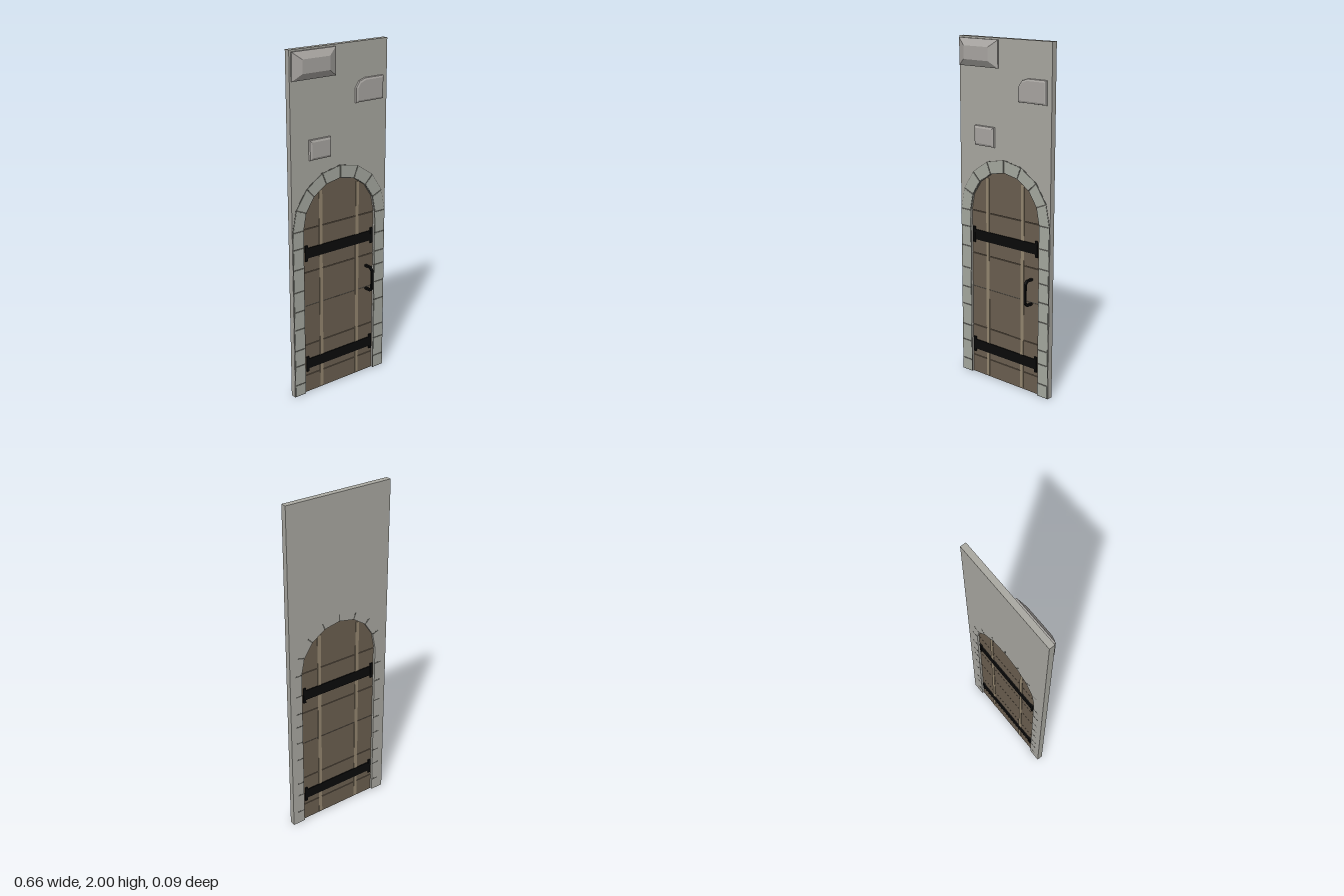
import * as THREE from 'three';

const mat = (name, color, flat = true) => {
  const m = new THREE.MeshStandardMaterial({ color, flatShading: flat });
  m.name = name;
  return m;
};

export function createModel() {
  const root = new THREE.Group();
  root.name = 'archedDoorway';
  const wallMat = mat('wallGrey', 0xa9a8a1);
  const stoneMat = mat('frameStone', 0xa6a9a0);
  const blockMat = mat('blockStone', 0xa9a6a2);
  const mortarMat = mat('mortar', 0x5c5c57);
  const woodMat = mat('doorWood', 0x6b5f50);
  const battenMat = mat('battenWood', 0x94866f);
  const ironMat = mat('blackIron', 0x0a0a0a);

  const SPRING = 1.01, R_IN = 0.253, R_OUT = 0.325, BACK = -0.045, FRONT = -0.011;

  const add = (name, geo, material, parent = root) => {
    const mesh = new THREE.Mesh(geo, material);
    mesh.name = name;
    parent.add(mesh);
    return mesh;
  };
  const group = (name) => {
    const g = new THREE.Group();
    g.name = name;
    root.add(g);
    return g;
  };
  // box given by its limits
  const box = (name, x0, x1, y0, y1, z0, z1, material, parent) => {
    const mesh = add(name, new THREE.BoxGeometry(x1 - x0, y1 - y0, z1 - z0), material, parent);
    mesh.position.set((x0 + x1) / 2, (y0 + y1) / 2, (z0 + z1) / 2);
    return mesh;
  };
  const polygon = (pts) => new THREE.Shape(pts.map((p) => new THREE.Vector2(p[0], p[1])));
  const extrude = (shape, z0, z1) =>
    new THREE.ExtrudeGeometry(shape, { depth: z1 - z0, bevelEnabled: false }).translate(0, 0, z0);
  const polar = (r, a) => [r * Math.cos(a), SPRING + r * Math.sin(a)];
  // eight-sided half circle from right to left
  const arc = (r) => Array.from({ length: 9 }, (_, i) => polar(r, (i * Math.PI) / 8));

  // Wall slab with the arched opening cut from its lower edge
  const wall = polygon([[-0.33, 0], [-R_IN, 0], ...arc(R_IN).reverse(), [R_IN, 0], [0.33, 0], [0.33, 2], [-0.33, 2]]);
  add('wall', extrude(wall, BACK, FRONT), wallMat);

  // Mortar bed behind the frame stones
  const frame = group('stoneFrame');
  const bed = polygon([[R_IN, 0], [R_OUT + 0.003, 0], ...arc(R_OUT + 0.003),
    [-R_OUT - 0.003, 0], [-R_IN, 0], ...arc(R_IN).reverse()]);
  add('mortarBed', extrude(bed, FRONT - 0.002, FRONT + 0.001), mortarMat, frame);

  // Jamb stones, with joints that show on the back as well
  const jambs = {
    [-1]: [0, 0.075, 0.195, 0.295, 0.425, 0.535, 0.655, 0.79, 0.91, SPRING],
    [1]: [0, 0.08, 0.2, 0.285, 0.455, 0.57, 0.68, 0.765, 0.88, SPRING],
  };
  const zStone = [FRONT - 0.001, FRONT + 0.003];
  for (const side of [-1, 1]) {
    const ys = jambs[side];
    for (let i = 0; i + 1 < ys.length; i++) {
      const xs = [side * (R_IN + 0.003), side * (R_OUT - 0.001)].sort((a, b) => a - b);
      box('jambStone', xs[0], xs[1], ys[i] + 0.004, ys[i + 1] - 0.004, ...zStone, stoneMat, frame);
      const xj = [side * R_IN, side * (R_IN + 0.042)].sort((a, b) => a - b);
      if (i) box('jambJoint', xj[0], xj[1], ys[i] - 0.004, ys[i] + 0.004, BACK - 0.0005, BACK + 0.002, mortarMat, frame);
    }
  }

  // Arch stones
  for (let i = 0; i < 8; i++) {
    const a = (i * Math.PI) / 8, b = a + Math.PI / 8, g = 0.004;
    const rIn = R_IN + 0.003, rOut = R_OUT - 0.001;
    const stone = polygon([polar(rIn, a + g / rIn), polar(rOut, a + g / rOut),
      polar(rOut, b - g / rOut), polar(rIn, b - g / rIn)]);
    add('archStone', extrude(stone, ...zStone), stoneMat, frame);
    const joint = add('archJoint', new THREE.BoxGeometry(0.042, 0.008, 0.0025), mortarMat, frame);
    const [x, y] = polar(R_IN + 0.021, a);
    joint.position.set(x, y, BACK + 0.00075);
    joint.rotation.z = a;
  }

  // Door boards with narrow gaps between them
  const door = group('door');
  const seams = [0, 0.11, 0.305, 0.55, 0.753, SPRING];
  const D0 = -0.034, D1 = -0.02, HALF = 0.25;
  for (let i = 0; i + 1 < seams.length; i++)
    box('doorBoard', -HALF, HALF, seams[i] + 0.002, seams[i + 1] - 0.002, D0, D1, woodMat, door);
  add('doorTopBoard', extrude(polygon(arc(R_IN - 0.001)), D0, D1).translate(0, 0.002, 0), woodMat, door);
  // Dark middle seam
  box('doorSeam', -HALF, HALF, 0.546, 0.554, D0 + 0.002, D1 - 0.002, mortarMat, door);

  // Upright battens, on both faces
  for (const x of [-0.13, 0.13])
    box('batten', x - 0.011, x + 0.011, 0.01, 1.215, D0 - 0.003, D1 + 0.003, battenMat, door);

  // Iron straps with taller end plates
  for (const y of [0.183, 0.868]) {
    box('strap', -0.235, 0.235, y - 0.03, y + 0.03, D0 - 0.006, D1 + 0.006, ironMat, door);
    for (const x of [-0.233, 0.233])
      box('strapEnd', x - 0.008, x + 0.008, y - 0.047, y + 0.047, D0 - 0.008, D1 + 0.008, ironMat, door);
  }

  // Pull handle: a bent bar profile in z and y, extruded across x
  const handle = polygon([[D1, 0.692], [0.025, 0.692], [0.044, 0.672], [0.044, 0.556], [0.025, 0.536], [D1, 0.536],
    [D1, 0.548], [0.02, 0.548], [0.033, 0.562], [0.033, 0.666], [0.02, 0.68], [D1, 0.68]]);
  const handleGeo = new THREE.ExtrudeGeometry(handle, { depth: 0.015, bevelEnabled: false });
  handleGeo.rotateY(-Math.PI / 2).translate(0.206, 0, 0);
  add('handle', handleGeo, ironMat, door);

  // Raised wall blocks: nested outlines, each [points, z], closed by a front face
  const block = (name, rings) => {
    const pos = [];
    const n = rings[0][0].length;
    const v = (k, i) => [...rings[k][0][i % n], rings[k][1]];
    for (let k = 0; k + 1 < rings.length; k++)
      for (let i = 0; i < n; i++) {
        const a = v(k, i), b = v(k, i + 1), c = v(k + 1, i + 1), d = v(k + 1, i);
        pos.push(...a, ...b, ...c, ...a, ...c, ...d);
      }
    const last = rings.length - 1;
    for (let i = 1; i + 1 < n; i++) pos.push(...v(last, 0), ...v(last, i), ...v(last, i + 1));
    const geo = new THREE.BufferGeometry();
    geo.setAttribute('position', new THREE.Float32BufferAttribute(pos, 3));
    geo.computeVertexNormals();
    add(name, geo, blockMat);
  };
  const rect = (x0, x1, y0, y1) => [[x0, y0], [x1, y0], [x1, y1], [x0, y1]];
  block('largeBlock', [[rect(-0.32, -0.04, 1.838, 1.99), FRONT], [rect(-0.322, -0.036, 1.838, 1.99), 0],
    [rect(-0.27, -0.09, 1.875, 1.95), 0.022]]);
  block('smallBlock', [[rect(-0.212, -0.067, 1.398, 1.512), FRONT], [rect(-0.21, -0.069, 1.4, 1.51), 0],
    [rect(-0.2, -0.079, 1.412, 1.498), 0.005]]);
  const cornered = (e) => [[0.105 + e, 1.668 + e], [0.3 - e, 1.668 + e], [0.3 - e, 1.8 - e],
    [0.17, 1.8 - e], [0.13 + e / 2, 1.787 - e], [0.105 + e, 1.75]];
  block('corneredBlock', [[cornered(0), FRONT], [cornered(0.002), -0.002], [cornered(0.012), 0.002]]);

  return root;
}
